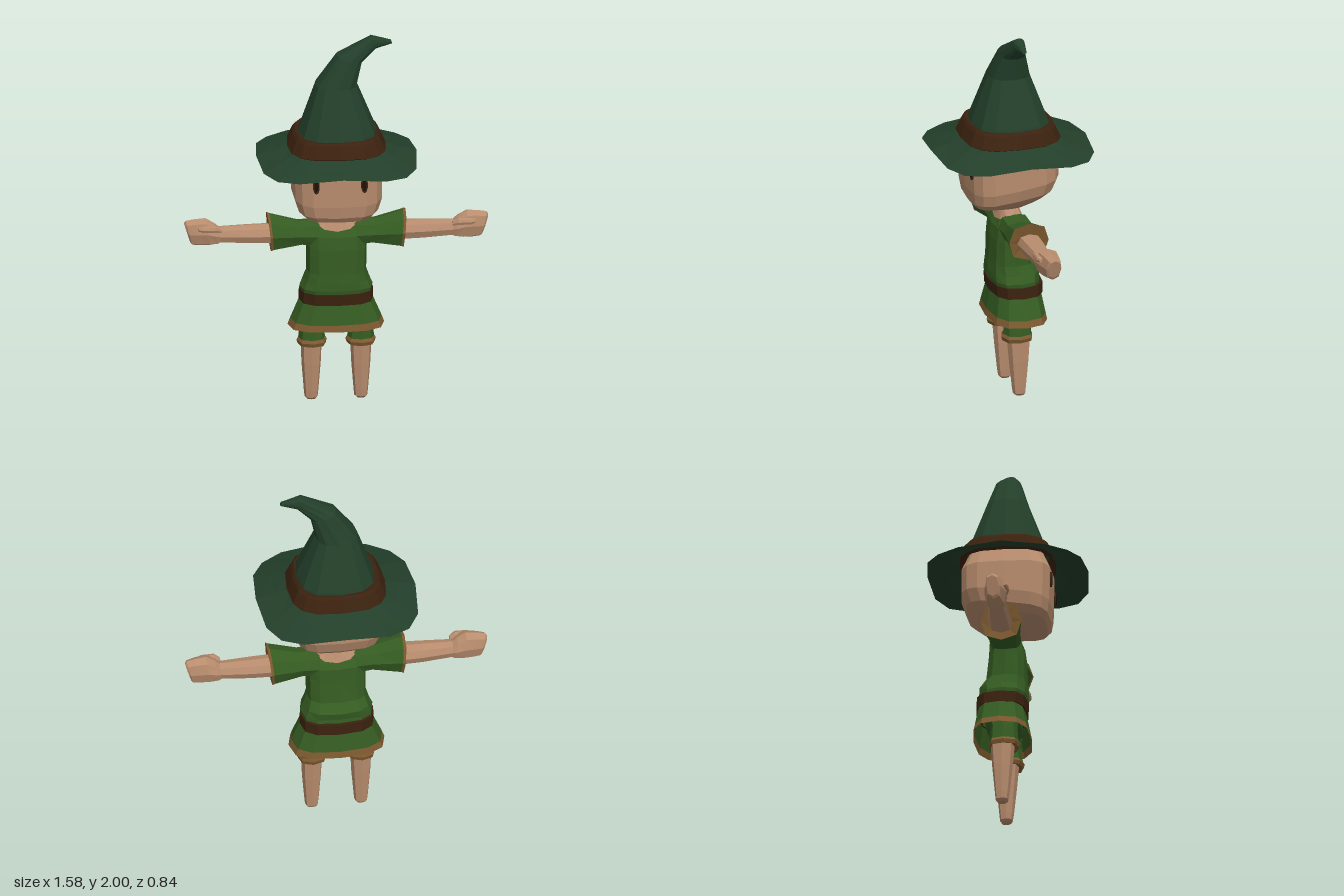
import * as THREE from 'three';

const mat = (name, color, side = THREE.FrontSide) => {
  const m = new THREE.MeshStandardMaterial({ color, side });
  m.name = name;
  return m;
};

// One closed cross-section: centre c, half axes u and v, squareness n, dip lowers the v ends.
function ring(c, u, v, n = 2.6, seg = 12, dip = 0) {
  const pts = [];
  for (let i = 0; i < seg; i++) {
    const a = (i / seg) * Math.PI * 2;
    const co = Math.cos(a), si = Math.sin(a);
    const p = Math.sign(co) * Math.abs(co) ** (2 / n);
    const q = Math.sign(si) * Math.abs(si) ** (2 / n);
    pts.push(new THREE.Vector3(
      c[0] + u[0] * p + v[0] * q,
      c[1] + u[1] * p + v[1] * q - dip * q * q,
      c[2] + u[2] * p + v[2] * q));
  }
  return pts;
}

// Horizontal section: height, half width, front z, back z
const flat = (y, hx, zf, zb, n, seg, cx = 0, dip = 0, tilt = 0) =>
  ring([cx, y, (zf + zb) / 2], [hx, 0, 0], [0, tilt, (zf - zb) / 2], n, seg, dip);

// Section across the arm: x at top and bottom, y top and bottom, front z, back z
const across = (xt, xb, yt, yb, zf, zb, n = 2.5, seg = 8) =>
  ring([(xt + xb) / 2, (yt + yb) / 2, (zf + zb) / 2], [0, 0, (zf - zb) / 2],
    [(xt - xb) / 2, (yt - yb) / 2, 0], n, seg);

// Faceted skin through the sections; side -1 mirrors it in x
function loft(rings, capStart = true, capEnd = true, side = 1) {
  const out = [];
  const tri = (a, b, c) => {
    for (const p of side > 0 ? [a, b, c] : [a, c, b]) out.push(p.x * side, p.y, p.z);
  };
  const n = rings[0].length;
  for (let i = 0; i < rings.length - 1; i++) {
    for (let j = 0; j < n; j++) {
      const k = (j + 1) % n, r = rings[i], s = rings[i + 1];
      tri(r[j], s[j], s[k]);
      tri(r[j], s[k], r[k]);
    }
  }
  const last = rings[rings.length - 1];
  for (let j = 1; j < n - 1; j++) {
    if (capStart) tri(rings[0][0], rings[0][j], rings[0][j + 1]);
    if (capEnd) tri(last[0], last[j + 1], last[j]);
  }
  const g = new THREE.BufferGeometry();
  g.setAttribute('position', new THREE.Float32BufferAttribute(out, 3));
  g.computeVertexNormals();
  return g;
}

export function createModel() {
  const model = new THREE.Group();
  const skin = mat('skin', 0xb98d6e);
  const tunic = mat('tunic green', 0x355c22, THREE.DoubleSide);
  const hat = mat('hat green', 0x233f2a, THREE.DoubleSide);
  const leather = mat('dark leather', 0x3c220f, THREE.DoubleSide);
  const trim = mat('tan trim', 0x7d5a30, THREE.DoubleSide);
  const pupil = mat('eye dark', 0x1c0f08);

  const add = (name, geometry, material) => {
    const m = new THREE.Mesh(geometry, material);
    m.name = name;
    model.add(m);
    return m;
  };

  // Head: flat face, jaw line rising toward the back
  add('head', loft([
    [1.022, 0.10, 0.10, -0.07, -0.002], [1.066, 0.18, 0.205, -0.16, -0.018],
    [1.105, 0.215, 0.225, -0.215, -0.028], [1.17, 0.235, 0.235, -0.24, -0.03],
    [1.33, 0.237, 0.24, -0.24, 0], [1.42, 0.2, 0.2, -0.2, 0],
  ].map(([y, x, f, b, t]) => flat(y, x, f, b, 3.6, 16, 0, 0, t))), skin);

  // Neck and bare collar
  add('neck', loft([
    flat(0.993, 0.116, 0.072, -0.072, 2.4, 12, 0, 0.05),
    flat(1.02, 0.065, 0.05, -0.05, 2.4, 12, 0, 0.01),
    flat(1.08, 0.055, 0.045, -0.05, 2.4),
  ], false), skin);

  // Eyes: thin oval plates with a darker centre
  for (const s of [-1, 1]) {
    for (const [name, r, h, z, m] of [['eyeRim', 0.018, 0.043, 0.235, leather], ['eye', 0.010, 0.032, 0.237, pupil]]) {
      const g = new THREE.CylinderGeometry(1, 1, 0.009, 10).rotateX(Math.PI / 2);
      const e = add(name, g.scale(r, h, 1), m);
      e.position.set(s * 0.125, 1.262, z);
    }
  }

  // Hat brim with drooping corners
  const brim = [[1.36, 0.418], [1.385, 0.32], [1.41, 0.235]].map(([y, r]) => {
    const pts = flat(y, r, r, -r, 3.1, 16);
    pts.forEach((p) => {
      const a = Math.atan2(p.z, p.x);
      p.y -= 0.028 * Math.sin(2 * a) ** 2 * (r - 0.235) / 0.183;
    });
    return pts;
  });
  add('hatBrim', loft(brim, false, false), hat);

  // Hat band, bevelled at top and bottom
  add('hatBand', loft([[1.395, 0.235], [1.41, 0.257], [1.475, 0.228], [1.49, 0.215], [1.485, 0.19]]
    .map(([y, r]) => flat(y, r, r, -r, 3, 16)), false, false), leather);

  // Hat cone: left point, right point and depth of each section, bending to one side
  add('hatCone', loft([
    [-0.215, 1.45, 0.22, 1.45, 0.215], [-0.195, 1.5, 0.207, 1.5, 0.2],
    [-0.112, 1.74, 0.108, 1.74, 0.11], [0.0, 1.9, 0.135, 1.865, 0.07],
    [0.18, 2.0, 0.205, 1.93, 0.033], [0.283, 1.973, 0.29, 1.955, 0.012],
  ].map(([ax, ay, bx, by, h]) =>
    ring([(ax + bx) / 2, (ay + by) / 2, 0], [(bx - ax) / 2, (by - ay) / 2, 0], [0, 0, h], 2.6, 12)),
  false), hat);

  // Tunic body with a scooped neckline front and back
  add('tunicBody', loft([
    ...[[0.56, 0.18, 0.095, -0.15], [0.63, 0.19, 0.11, -0.143], [0.67, 0.172, 0.11, -0.15],
      [0.72, 0.156, 0.105, -0.115], [0.85, 0.158, 0.1, -0.1], [0.92, 0.162, 0.09, -0.095],
    ].map(([y, x, f, b]) => flat(y, x, f, b, 2.8)),
    flat(0.998, 0.118, 0.074, -0.074, 2.4, 12, 0, 0.05),
  ], false, false), tunic);

  // Skirt and its hem
  add('skirt', loft([flat(0.58, 0.18, 0.092, -0.15, 2.8), flat(0.445, 0.238, 0.118, -0.173, 2.8)].reverse(),
    false, false), tunic);
  add('skirtHem', loft([flat(0.41, 0.251, 0.125, -0.18, 2.8), flat(0.445, 0.238, 0.118, -0.173, 2.8)],
    false, false), trim);

  // Belt
  add('belt', loft([[0.55, 0.18, 0.09, -0.15], [0.55, 0.194, 0.106, -0.164], [0.61, 0.192, 0.11, -0.164],
    [0.61, 0.175, 0.095, -0.14]].map(([y, x, f, b]) => flat(y, x, f, b, 2.8)), false, false), leather);

  // Hips under the skirt
  add('hips', loft([flat(0.42, 0.08, 0.04, -0.06), flat(0.47, 0.165, 0.075, -0.11),
    flat(0.57, 0.17, 0.085, -0.13)]), tunic);

  for (const s of [1, -1]) {
    const side = s > 0 ? 'left' : 'right';

    // Sleeve and cuff, the cuff closing in around the arm
    add(side + 'Sleeve', loft([
      across(0.09, 0.1, 0.995, 0.85, 0.08, -0.085), across(0.2, 0.18, 0.988, 0.863, 0.08, -0.085),
      across(0.346, 0.328, 1.03, 0.835, 0.098, -0.108),
    ], false, false, s), tunic);
    add(side + 'Cuff', loft([
      across(0.346, 0.328, 1.03, 0.835, 0.098, -0.108), across(0.36, 0.341, 1.037, 0.829, 0.102, -0.112),
      across(0.35, 0.333, 0.97, 0.88, 0.05, -0.06),
    ], false, false, s), trim);

    // Arm and closed hand
    add(side + 'Arm', loft([
      across(0.3, 0.3, 0.975, 0.872, 0.056, -0.07), across(0.45, 0.45, 0.972, 0.875, 0.05, -0.066),
      across(0.61, 0.6, 0.968, 0.883, 0.038, -0.053), across(0.635, 0.615, 0.99, 0.875, 0.05, -0.062),
      across(0.68, 0.66, 1.018, 0.868, 0.052, -0.064), across(0.74, 0.715, 1.012, 0.868, 0.04, -0.058),
      across(0.782, 0.748, 1.004, 0.872, 0.03, -0.052), across(0.79, 0.757, 0.99, 0.885, 0.018, -0.045),
    ], true, true, s), skin);
    add(side + 'Thumb', loft([
      across(0.6, 0.6, 0.972, 0.948, 0.046, 0.02), across(0.63, 0.63, 0.99, 0.953, 0.062, 0.02),
      across(0.695, 0.695, 0.988, 0.955, 0.062, 0.02), across(0.718, 0.718, 0.982, 0.962, 0.052, 0.02),
    ], true, true, s), skin);

    // Short trouser leg with a flared hem
    add(side + 'Trouser', loft([
      flat(0.345, 0.07, 0.066, -0.085, 2.5, 8, 0.127), flat(0.42, 0.058, 0.06, -0.08, 2.5, 8, 0.13),
      flat(0.53, 0.075, 0.07, -0.11, 2.5, 8, 0.095),
    ], false, true, s), tunic);
    add(side + 'TrouserHem', loft([
      flat(0.318, 0.05, 0.045, -0.07, 2.5, 8, 0.127), flat(0.31, 0.073, 0.07, -0.088, 2.5, 8, 0.127),
      flat(0.33, 0.079, 0.076, -0.092, 2.5, 8, 0.127), flat(0.347, 0.069, 0.065, -0.084, 2.5, 8, 0.127),
    ], false, false, s), trim);

    // Tapered bare leg
    add(side + 'Leg', loft([
      [0, 0.022, 0.002, -0.042], [0.012, 0.034, 0.014, -0.052], [0.05, 0.038, 0.02, -0.056],
      [0.2, 0.05, 0.036, -0.07], [0.34, 0.056, 0.048, -0.08],
    ].map(([y, x, f, b]) => flat(y, x, f, b, 2.8, 8, 0.129)), true, true, s), skin);
  }
  return model;
}
